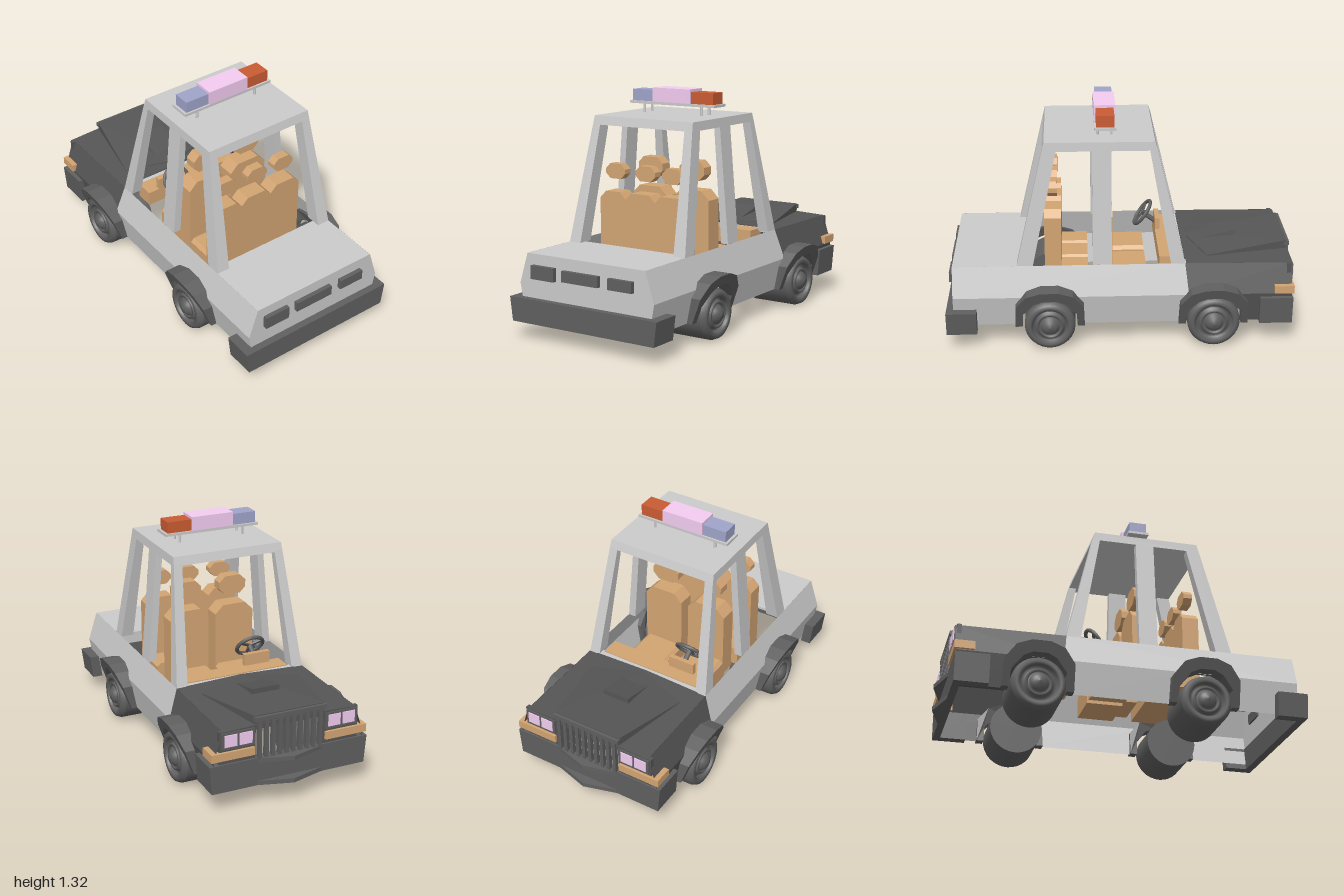
import * as THREE from 'three';
import { ConvexGeometry } from 'three/addons/geometries/ConvexGeometry.js';

const mat = (color, side = THREE.FrontSide) => new THREE.MeshStandardMaterial({ color, side, flatShading: true });
const grey = mat(0xcccccc), shell = mat(0xcccccc, THREE.DoubleSide);
const dark = mat(0x606060), hoodMat = mat(0x565656), darkShell = mat(0x565656, THREE.DoubleSide);
const tan = mat(0xd3a573), pink = mat(0xf4cdf2), blue = mat(0xa0a5ca), red = mat(0xca5c33);
const rubber = new THREE.MeshStandardMaterial({ color: 0x606060 });

function add(parent, name, geometry, material) {
  const mesh = new THREE.Mesh(geometry, material);
  mesh.name = name;
  parent.add(mesh);
  return mesh;
}

// box given by its limits on each axis
function box(parent, name, material, x0, x1, y0, y1, z0, z1) {
  const m = add(parent, name, new THREE.BoxGeometry(x1 - x0, y1 - y0, z1 - z0), material);
  m.position.set((x0 + x1) / 2, (y0 + y1) / 2, (z0 + z1) / 2);
  return m;
}

// solid hull of corner points, optionally doubled across x = 0
function hull(parent, name, material, pts, both = false) {
  const v = pts.map(p => new THREE.Vector3(...p));
  if (both) v.push(...pts.map(p => new THREE.Vector3(-p[0], p[1], p[2])));
  return add(parent, name, new ConvexGeometry(v), material);
}

// tapered bar between two rectangles [x0, x1, z0, z1]
function bar(parent, name, material, y0, a, y1, b) {
  const ring = (y, [p, q, r, s]) => [[p, y, r], [q, y, r], [q, y, s], [p, y, s]];
  return hull(parent, name, material, [...ring(y0, a), ...ring(y1, b)]);
}

const shapeOf = pts => new THREE.Shape(pts.map(p => new THREE.Vector2(...p)));

// half width of the body at height y
const bodyX = y => y >= 0.31 ? 0.445 - (y - 0.31) * 0.32 : 0.445 - (0.31 - y) * 0.19;

// side panel drawn as (-z, y) and laid onto the body slope
function panel(parent, name, material, pts) {
  const g = new THREE.ShapeGeometry(shapeOf(pts)), p = g.attributes.position;
  for (let i = 0; i < p.count; i++) p.setXYZ(i, bodyX(p.getY(i)), p.getY(i), -p.getX(i));
  g.computeVertexNormals();
  return add(parent, name, g, material);
}

// wheel arch that stands out further toward its top
function flare(parent, z) {
  const outer = [[0.195, 0.13], [0.19, 0.27], [0.13, 0.345], [0.05, 0.372]];
  const inner = [[0.155, 0.13], [0.15, 0.22], [0.09, 0.29], [0.04, 0.312]];
  const arc = a => [...a, ...a.map(([x, y]) => [-x, y]).reverse()];
  const g = new THREE.ExtrudeGeometry(shapeOf([...arc(outer), ...arc(inner).reverse()]), { depth: 1, bevelEnabled: false });
  g.rotateY(Math.PI / 2);
  const p = g.attributes.position;
  for (let i = 0; i < p.count; i++) {
    const y = p.getY(i);
    p.setX(i, p.getX(i) > 0.5 ? 0.48 + (y - 0.23) * 0.355 : bodyX(y) - 0.02);
  }
  g.computeVertexNormals();
  add(parent, 'wheelArch', g, dark).position.z = z;
}

function wheel(parent, z, r) {
  const profile = [[0, 0.2], [r, 0.2], [r, 0.2], [r, 0.46], [r, 0.46], [r - 0.012, 0.487], [r - 0.03, 0.49],
    [r - 0.045, 0.485], [r - 0.045, 0.46], [0.08, 0.46], [0.075, 0.483], [0.062, 0.483], [0.058, 0.465],
    [0.05, 0.485], [0.03, 0.503], [0, 0.51]];
  const g = new THREE.LatheGeometry(profile.map(p => new THREE.Vector2(...p)), 32);
  g.rotateZ(-Math.PI / 2);
  add(parent, 'wheel', g, rubber).position.set(0, r + 0.005, z);
}

// slab with cut corners; bottom corners are cut only when asked
function padded(parent, name, x0, x1, y0, y1, z0, z1, cut, low = 0) {
  const pts = [[x0 + low, y0], [x1 - low, y0], [x1, y0 + low], [x1, y1 - cut], [x1 - cut, y1], [x0 + cut, y1], [x0, y1 - cut], [x0, y0 + low]];
  hull(parent, name, tan, pts.flatMap(([x, y]) => [[x, y, z0], [x, y, z1]]));
}

function buildSide() {
  const s = new THREE.Group();
  s.name = 'bodySide';
  panel(s, 'upperSide', shell, [[-0.96, 0.31], [0.36, 0.31], [0.34, 0.48], [-0.96, 0.48]]);
  panel(s, 'rearQuarter', shell, [[-0.96, 0.13], [-0.595, 0.13], [-0.59, 0.25], [-0.53, 0.31], [-0.96, 0.31]]);
  panel(s, 'lowerDoor', shell, [[-0.245, 0.13], [0.325, 0.13], [0.33, 0.25], [0.39, 0.31], [-0.31, 0.31], [-0.25, 0.25]]);
  panel(s, 'frontFender', darkShell, [[0.36, 0.31], [0.94, 0.31], [0.94, 0.475], [0.34, 0.48]]);
  panel(s, 'lowerFender', darkShell, [[0.675, 0.13], [0.94, 0.13], [0.94, 0.31], [0.61, 0.31], [0.67, 0.25]]);
  flare(s, 0.42);
  flare(s, -0.5);
  wheel(s, 0.42, 0.142);
  wheel(s, -0.5, 0.148);

  // roof pillars
  bar(s, 'rearPillar', grey, 0.48, [0.315, 0.39, 0.51, 0.6], 1.14, [0.283, 0.333, 0.37, 0.447]);
  bar(s, 'middlePillar', grey, 0.48, [0.345, 0.39, 0.07, 0.175], 1.14, [0.295, 0.333, 0.07, 0.175]);
  bar(s, 'frontPillar', grey, 0.48, [0.325, 0.39, -0.34, -0.26], 1.14, [0.283, 0.333, -0.182, -0.14]);

  // bumper ends
  bar(s, 'rearBumperEnd', dark, 0.1, [0.41, 0.47, 0.83, 1], 0.235, [0.43, 0.487, 0.83, 1]);
  bar(s, 'frontBumperEnd', dark, 0.13, [0.4, 0.455, -0.945, -0.76], 0.29, [0.42, 0.468, -0.945, -0.76]);

  // lamps on the nose
  box(s, 'nosePlate', hoodMat, 0.2, 0.41, 0.28, 0.475, -0.935, -0.91);
  box(s, 'headlightFrame', dark, 0.21, 0.4, 0.375, 0.47, -0.946, -0.93);
  box(s, 'headlight', pink, 0.225, 0.298, 0.39, 0.457, -0.951, -0.94);
  box(s, 'headlight', pink, 0.312, 0.385, 0.39, 0.457, -0.951, -0.94);
  box(s, 'turnSignal', tan, 0.21, 0.46, 0.315, 0.36, -0.95, -0.92);
  box(s, 'turnSignalSide', tan, 0.425, 0.46, 0.315, 0.36, -0.93, -0.84);
  return s;
}

export function createModel() {
  const car = new THREE.Group();
  car.name = 'car';
  const left = buildSide();
  const right = left.clone();
  right.scale.x = -1;
  car.add(left, right);

  // trunk, cowl and roof
  box(car, 'trunkLid', grey, -0.39, 0.39, 0.465, 0.48, 0.55, 0.96);
  box(car, 'cowl', grey, -0.39, 0.39, 0.465, 0.482, -0.345, -0.3);
  const back = [0.13, 0.31, 0.48].map(y => [bodyX(y), y]);
  add(car, 'tailPanel', new THREE.ShapeGeometry(shapeOf([...back, ...back.map(([x, y]) => [-x, y]).reverse()])), shell).position.z = 0.96;
  bar(car, 'roof', grey, 1.13, [-0.334, 0.334, -0.184, 0.449], 1.18, [-0.33, 0.33, -0.17, 0.437]);
  box(car, 'tailLight', dark, -0.35, -0.195, 0.345, 0.42, 0.95, 0.985);
  box(car, 'platePanel', dark, -0.14, 0.1, 0.355, 0.415, 0.95, 0.985);
  box(car, 'tailLight', dark, 0.165, 0.32, 0.355, 0.415, 0.95, 0.985);
  bar(car, 'rearBumper', dark, 0.1, [-0.47, 0.47, 0.955, 1], 0.235, [-0.487, 0.487, 0.955, 1]);

  // hood with raised wedge and scoop
  hull(car, 'hood', hoodMat, [[0.39, 0.48, -0.34], [0.39, 0.475, -0.94], [0.39, 0.455, -0.34], [0.39, 0.455, -0.94], [0, 0.495, -0.34], [0, 0.488, -0.94]], true);
  hull(car, 'hoodWedge', hoodMat, [[0.3, 0.487, -0.47], [0.3, 0.465, -0.47], [0.205, 0.53, -0.935], [0.205, 0.465, -0.935], [0, 0.5, -0.36]], true);
  hull(car, 'hoodScoop', hoodMat, [[0.085, 0.5, -0.45], [0.08, 0.545, -0.655], [0.085, 0.5, -0.655]], true);

  // grille bars and front bumper with pointed lips
  for (let i = 0; i < 10; i++) {
    const x = -0.18 + i * 0.04;
    box(car, 'grilleBar', dark, x - 0.01, x + 0.01, 0.28, 0.52, -0.95, -0.925);
  }
  box(car, 'grilleTop', dark, -0.21, 0.21, 0.5, 0.525, -0.95, -0.92);
  bar(car, 'frontBumper', dark, 0.13, [-0.455, 0.455, -0.945, -0.905], 0.29, [-0.468, 0.468, -0.945, -0.905]);
  for (const [y0, y1] of [[0.13, 0.155], [0.263, 0.287]])
    hull(car, 'bumperLip', dark, [y0, y1].flatMap(y => [[0.21, y, -0.94], [-0.21, y, -0.94], [0, y, -1]]));

  // light bar
  box(car, 'lightBarPlate', grey, -0.29, 0.285, 1.23, 1.245, 0.04, 0.16);
  box(car, 'blueLight', blue, -0.275, -0.13, 1.245, 1.31, 0.05, 0.15);
  box(car, 'middleLight', pink, -0.13, 0.125, 1.245, 1.325, 0.04, 0.16);
  box(car, 'redLight', red, 0.125, 0.27, 1.245, 1.31, 0.05, 0.15);
  for (const x of [-0.2, 0.19]) for (const z of [0.065, 0.14])
    add(car, 'lightBarPost', new THREE.CylinderGeometry(0.008, 0.008, 0.06, 8), grey).position.set(x, 1.205, z);

  // rear bench and its headrests
  for (const [x0, x1, h] of [[-0.29, -0.115, -0.2], [-0.115, 0.085, 0.005], [0.085, 0.285, 0.185]]) {
    padded(car, 'rearSeatBack', x0, x1, 0.3, 0.76, 0.35, 0.445, 0.04);
    padded(car, 'rearSeatCushion', x0, x1, 0.29, 0.4, 0.2, 0.36, 0.02);
    padded(car, 'rearHeadrest', h - 0.066, h + 0.066, 0.83, 0.915, 0.37, 0.422, 0.03, 0.03);
  }
  // front seats
  for (const x of [-0.15, 0.135]) {
    padded(car, 'frontSeatBack', x - 0.12, x + 0.12, 0.3, 0.76, 0.062, 0.165, 0.05);
    padded(car, 'frontSeatCushion', x - 0.12, x + 0.12, 0.27, 0.4, -0.13, 0.08, 0.02);
    padded(car, 'frontHeadrest', x - 0.083, x + 0.083, 0.815, 0.927, 0.085, 0.155, 0.035, 0.035);
  }

  // dashboard and steering wheel
  box(car, 'dashboard', tan, -0.31, 0.31, 0.4, 0.487, -0.31, -0.2);
  box(car, 'instrumentHood', tan, -0.24, -0.08, 0.48, 0.555, -0.228, -0.2);
  const steering = new THREE.Group();
  steering.name = 'steeringWheel';
  steering.position.set(-0.16, 0.565, -0.13);
  steering.rotation.x = -0.63;
  add(steering, 'rim', new THREE.TorusGeometry(0.08, 0.011, 8, 20), rubber);
  for (const a of [0, 2.1, 4.2]) {
    const spoke = add(steering, 'spoke', new THREE.BoxGeometry(0.016, 0.08, 0.01), dark);
    spoke.position.set(Math.sin(a) * 0.04, -Math.cos(a) * 0.04, 0);
    spoke.rotation.z = a;
  }
  const column = add(steering, 'column', new THREE.CylinderGeometry(0.015, 0.015, 0.1, 10), rubber);
  column.rotation.x = Math.PI / 2;
  column.position.z = -0.05;
  car.add(steering);
  return car;
}
